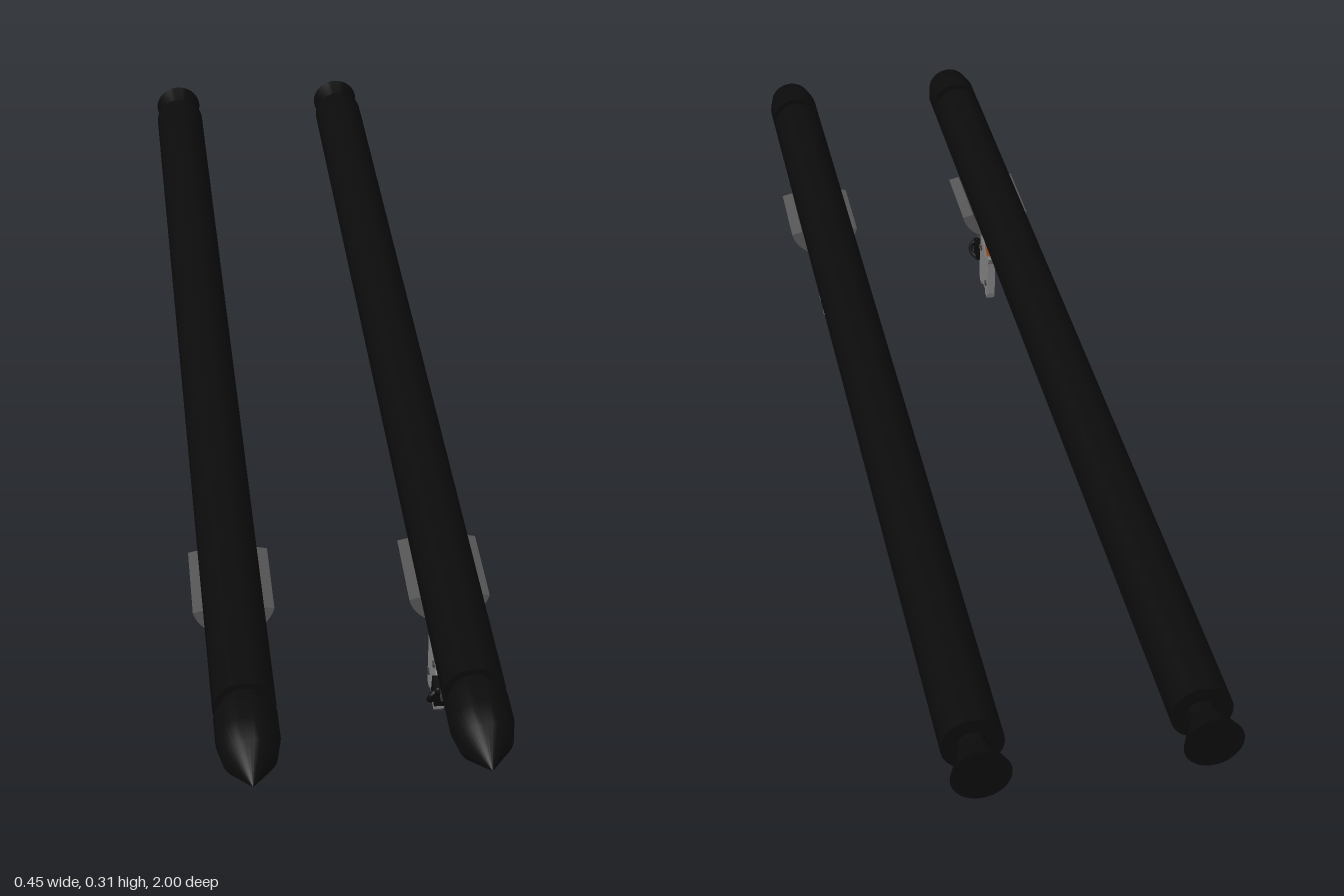
import * as THREE from 'three';
import { toCreasedNormals } from 'three/addons/utils/BufferGeometryUtils.js';

const mat = (color) => new THREE.MeshStandardMaterial({ color });
const black = mat(0x0b0b0b), cradleGrey = mat(0x555555), grey = mat(0x808080);
const darkGrey = mat(0x3a3a3a), rust = mat(0xa3532f);

function add(group, name, geometry, material, x = 0, y = 0, z = 0) {
  const mesh = new THREE.Mesh(geometry, material);
  mesh.name = name;
  mesh.position.set(x, y, z);
  group.add(mesh);
  return mesh;
}

// Plate drawn in the (z, y) plane with a thickness along x
function plate(points, thickness) {
  const shape = new THREE.Shape(points.map(([z, y]) => new THREE.Vector2(z, y)));
  const g = new THREE.ExtrudeGeometry(shape, { depth: thickness, bevelEnabled: false });
  return g.translate(0, 0, -thickness / 2).rotateY(-Math.PI / 2);
}

function rod(points, radius) {
  const curve = new THREE.CatmullRomCurve3(points.map((p) => new THREE.Vector3(...p)));
  return new THREE.TubeGeometry(curve, 20, radius, 8);
}

// Long tube with pointed nose, grooved neck and flared tail nozzle
function rocket() {
  const profile = [
    [0, -1], [0.044, -1], [0.023, -0.952], [0.023, -0.94], [0.046, -0.94],
    [0.046, 0.842], [0.036, 0.842], [0.036, 0.863], [0.046, 0.863],
    [0.046, 0.91], [0.039, 0.945], [0, 1],
  ].map(([r, z]) => new THREE.Vector2(r, z));
  const g = new THREE.LatheGeometry(profile, 32).rotateX(Math.PI / 2);
  return toCreasedNormals(g, 0.6);
}

// Half-round trough that holds the tube
function cradle() {
  const shape = new THREE.Shape();
  const a = Math.PI + 0.22, b = 2 * Math.PI - 0.22;
  shape.absarc(0, 0, 0.0635, a, b, false);
  shape.absarc(0, 0, 0.044, b, a, true);
  const g = new THREE.ExtrudeGeometry(shape, { depth: 0.145, bevelEnabled: false, curveSegments: 24 });
  return toCreasedNormals(g, 0.6);
}

// Bracket below the cradle; side is the x direction its lever leans to
function bracket(side) {
  const g = new THREE.Group();
  g.name = 'bracket';
  add(g, 'topBlock', new THREE.BoxGeometry(0.017, 0.026, 0.05), darkGrey, 0, 0.18, 0.54);
  add(g, 'rustStem', new THREE.BoxGeometry(0.012, 0.085, 0.03), rust, 0, 0.13, 0.542);
  add(g, 'stemRail', new THREE.BoxGeometry(0.013, 0.085, 0.006), grey, 0, 0.13, 0.56);

  // Lower body with two feet and a notched top
  add(g, 'lowerBody', plate([
    [0.606, 0.01], [0.598, 0], [0.582, 0], [0.578, 0.01], [0.55, 0.01], [0.546, 0],
    [0.53, 0], [0.526, 0.012], [0.522, 0.085], [0.514, 0.1], [0.528, 0.1],
    [0.54, 0.09], [0.56, 0.098], [0.575, 0.118], [0.593, 0.118], [0.6, 0.105], [0.598, 0.085], [0.606, 0.08],
  ], 0.015), grey);

  // Curved arm linking the body to the top of the stem
  add(g, 'linkArm', rod([
    [0, 0.105, 0.585], [0, 0.13, 0.592], [0, 0.155, 0.588], [0, 0.168, 0.575], [0, 0.16, 0.56],
  ], 0.0055), darkGrey);

  // Hooked lever in front of the body
  add(g, 'lever', rod([
    [0, 0.182, 0.64], [0, 0.165, 0.632], [0, 0.14, 0.624], [0, 0.11, 0.632],
    [0, 0.08, 0.642], [0, 0.055, 0.632],
  ], 0.0055), darkGrey);
  add(g, 'leverTip', new THREE.SphereGeometry(0.0055, 10, 8), darkGrey, 0, 0.182, 0.64);

  // Plug and its looping hose
  const plug = add(g, 'plug', new THREE.BoxGeometry(0.021, 0.034, 0.034), black, side * 0.003, 0.061, 0.62);
  plug.rotation.x = 0.15;
  add(g, 'hose', rod([
    [side * 0.006, 0.075, 0.63], [side * 0.018, 0.066, 0.634], [side * 0.021, 0.053, 0.63],
    [side * 0.012, 0.043, 0.618], [0, 0.045, 0.6],
  ], 0.0042), black);

  // Cross pins through the body
  for (const [y, z] of [[0.085, 0.585], [0.03, 0.54]]) {
    add(g, 'pin', new THREE.CylinderGeometry(0.006, 0.006, 0.019, 12).rotateZ(Math.PI / 2), darkGrey, 0, y, z);
  }
  return g;
}

export function createModel() {
  const model = new THREE.Group();
  model.name = 'twinRockets';
  for (const side of [-1, 1]) {
    const unit = new THREE.Group();
    unit.name = side < 0 ? 'rightRocketUnit' : 'leftRocketUnit';
    unit.position.x = side * 0.165;
    // Tubes are turned slightly towards +x at the nose
    const tube = add(unit, 'rocket', rocket(), black, -0.005, 0.26, 0);
    tube.rotation.y = 0.0045;
    add(unit, 'cradle', cradle(), cradleGrey, -0.001, 0.252, 0.46);
    const mount = bracket(-side);
    mount.position.x = -0.009;
    unit.add(mount);
    model.add(unit);
  }
  return model;
}
